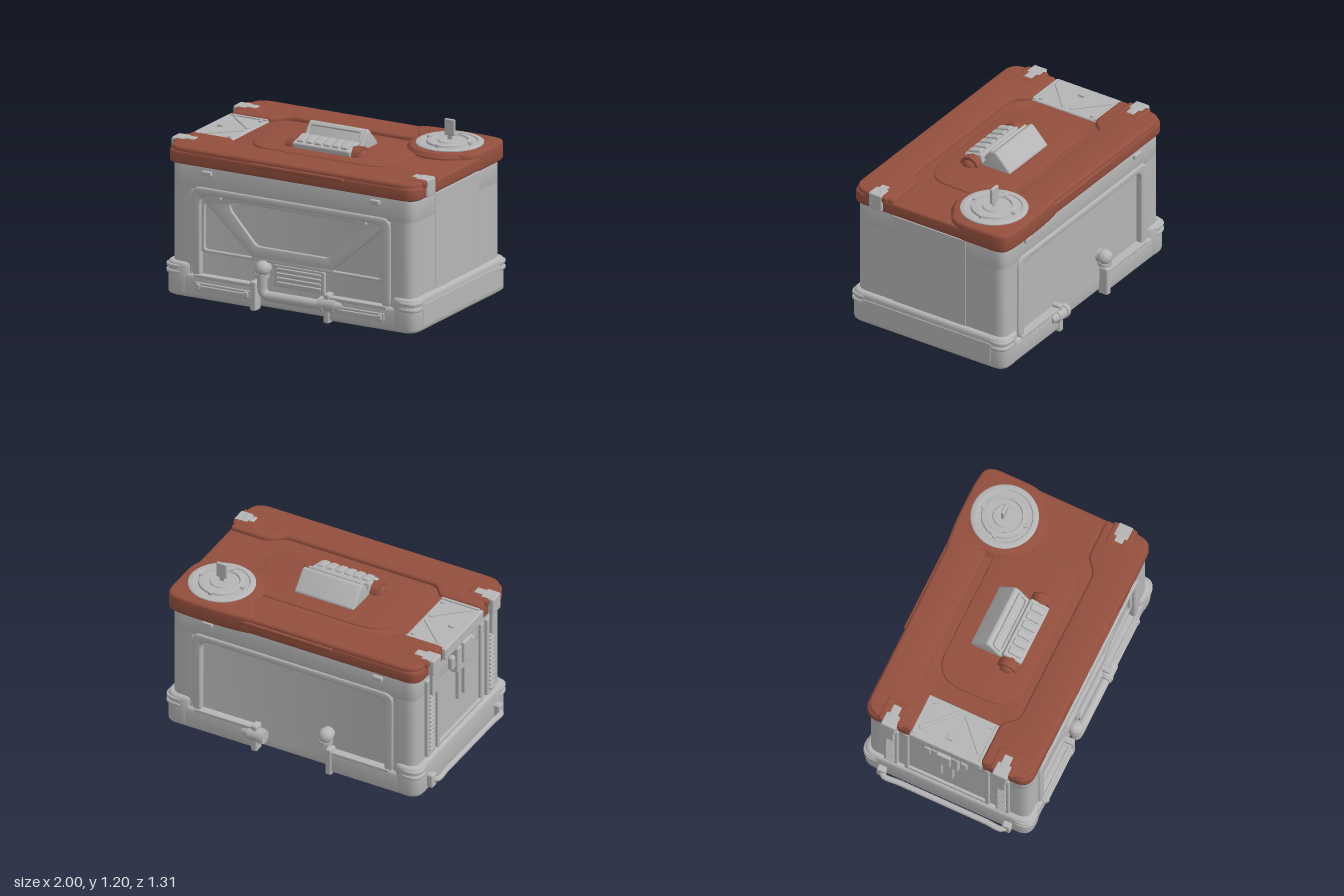
import * as THREE from 'three';
import { toCreasedNormals } from 'three/addons/utils/BufferGeometryUtils.js';
import { RoundedBoxGeometry } from 'three/addons/geometries/RoundedBoxGeometry.js';

const grey = new THREE.MeshStandardMaterial({ color: 0xb5b5b5 });
grey.name = 'grey shell';
const rust = new THREE.MeshStandardMaterial({ color: 0x934f3e });
rust.name = 'rust lid';

export function createModel() {
  const root = new THREE.Group();
  root.name = 'storageCase';
  const box = new THREE.Group();
  box.name = 'caseBody';
  box.position.x = 0.02;
  box.rotation.y = 0.05;
  root.add(box);

  const add = (name, geo, mat = grey, x = 0, y = 0, z = 0) => {
    const m = new THREE.Mesh(geo, mat);
    m.name = name;
    m.position.set(x, y, z);
    box.add(m);
    return m;
  };
  // polygon with rounded corners; a third value on a point overrides the radius
  const poly = (pts, r, Type = THREE.Shape) => {
    const s = new Type(), n = pts.length;
    pts.forEach((p, i) => {
      const c = new THREE.Vector2(p[0], p[1]), rad = p[2] ?? r;
      const toward = (q) => {
        const d = new THREE.Vector2(q[0], q[1]).sub(c), l = d.length();
        return d.multiplyScalar(Math.min(rad, l * 0.49) / l).add(c);
      };
      const a = toward(pts[(i + n - 1) % n]), b = toward(pts[(i + 1) % n]);
      if (i) s.lineTo(a.x, a.y); else s.moveTo(a.x, a.y);
      s.quadraticCurveTo(c.x, c.y, b.x, b.y);
    });
    s.closePath();
    return s;
  };
  const rect = (x0, y0, x1, y1, r) => poly([[x0, y0], [x1, y0], [x1, y1], [x0, y1]], r);
  const extrude = (shape, h, b) => {
    const g = new THREE.ExtrudeGeometry(shape, {
      depth: h - 2 * b, bevelEnabled: b > 0, bevelThickness: b, bevelSize: b,
      bevelOffset: -b, bevelSegments: 3, curveSegments: 8 });
    return toCreasedNormals(g.translate(0, 0, b), 0.6);
  };
  // horizontal slab: the shape is drawn in x and z
  const slab = (name, shape, y0, y1, b, mat = grey) =>
    add(name, extrude(shape, y1 - y0, b).rotateX(Math.PI / 2).translate(0, y1, 0), mat);
  // upright plate on the front (s = 1) or back (s = -1)
  const wall = (name, shape, z, t, b, s = 1) => {
    const g = extrude(shape, t, b).translate(0, 0, s > 0 ? z : -z - t);
    return add(name, g);
  };
  const rbox = (name, w, h, d, x, y, z, mat = grey, r = 0.012) =>
    add(name, new RoundedBoxGeometry(w, h, d, 2, Math.min(r, w / 3, h / 3, d / 3)), mat, x, y, z);
  const cyl = (name, r0, r1, h, x, y, z, axis = 'y', mat = grey) => {
    const g = new THREE.CylinderGeometry(r0, r1, h, 32);
    if (axis === 'x') g.rotateZ(-Math.PI / 2);
    if (axis === 'z') g.rotateX(Math.PI / 2);
    return add(name, g, mat, x, y, z);
  };
  // footprint with a shallow bay in front and back
  const bayed = (hx, hz, r, nx, nz) => poly([
    [-hx, -hz], [-nx, -hz, 0.01], [-nx, -nz, 0.01], [nx, -nz, 0.01], [nx, -hz, 0.01], [hx, -hz],
    [hx, hz], [nx, hz, 0.01], [nx, nz, 0.01], [-nx, nz, 0.01], [-nx, hz, 0.01], [-hx, hz]], r);

  // Shell and plinth
  slab('upperShell', rect(-0.905, -0.578, 0.905, 0.578, 0.08), 0.75, 0.93, 0.01);
  slab('middleShell', bayed(0.905, 0.578, 0.08, 0.74, 0.545), 0.1, 0.76, 0);
  slab('plinth', bayed(0.925, 0.597, 0.08, 0.26, 0.54), 0.015, 0.18, 0.025);
  for (const s of [-1, 1]) {
    const [a, b] = s > 0 ? [0.74, 0.94] : [-0.94, -0.74];
    slab('endFoot', rect(a, -0.605, b, 0.605, 0.09), 0.02, 0.25, 0.025);
    for (const t of [-1, 1]) for (const y of [0.165, 0.205])
      slab('cornerRib', rect(s > 0 ? 0.78 : -0.947, t > 0 ? 0.45 : -0.612, s > 0 ? 0.947 : -0.78, t > 0 ? 0.612 : -0.45, 0.08), y, y + 0.025, 0.008);
  }
  rbox('rightBasePanel', 0.012, 0.15, 1.0, 0.939, 0.127, 0);
  rbox('rightSidePanel', 0.014, 0.65, 0.57, 0.904, 0.57, 0.0);

  // Front and back framing
  const arch = () => poly([[-0.745, 0.17], [-0.745, 0.775], [0.745, 0.775], [0.745, 0.17],
    [0.68, 0.17, 0.01], [0.68, 0.725], [-0.68, 0.725], [-0.68, 0.17, 0.01]], 0.07);
  for (const s of [-1, 1]) {
    wall('archFrame', arch(), 0.54, 0.05, 0.012, s);
    for (const t of [-1, 1]) {
      rbox('bayGusset', 0.045, 0.2, 0.075, t * 0.275, 0.1, s * 0.57);
      rbox('lidClip', 0.075, 0.035, 0.03, t * 0.63, 0.872, s * 0.582);
      rbox('ledge', 0.44, 0.025, 0.02, t * 0.5, 0.17, s * 0.59);
    }
  }
  const brace = rect(-0.69, 0.33, 0.69, 0.735, 0.03);
  brace.holes.push(poly([[-0.47, 0.7], [0.47, 0.7], [0.47, 0.65], [0.27, 0.43], [-0.27, 0.43], [-0.47, 0.65]], 0.03, THREE.Path));
  for (const t of [-1, 1]) {
    brace.holes.push(poly([[t * 0.66, 0.67], [t * 0.66, 0.35], [t * 0.3, 0.35]], 0.02, THREE.Path));
    cyl('braceBolt', 0.017, 0.017, 0.02, t * 0.545, 0.71, 0.572, 'z');
    rbox('frontSlotFrame', 0.42, 0.055, 0.02, t * 0.5, 0.105, 0.598);
    rbox('frontSlotBar', 0.34, 0.022, 0.02, t * 0.5, 0.105, 0.607);
    for (const e of [-1, 1]) rbox('slotStop', 0.03, 0.04, 0.025, t * 0.5 + e * 0.18, 0.105, 0.608);
  }
  wall('frontBrace', brace, 0.54, 0.025, 0.006);
  rbox('ventFrame', 0.38, 0.15, 0.025, 0.05, 0.255, 0.552);
  for (let i = 0; i < 4; i++) rbox('ventSlat', 0.33, 0.016, 0.022, 0.05, 0.21 + i * 0.031, 0.567, grey, 0.005);

  // Front drain pipe and its rear outlets
  const path = new THREE.CurvePath();
  const v = (x, y) => new THREE.Vector3(x, y, 0.59);
  path.add(new THREE.LineCurve3(v(-0.21, 0.3), v(-0.21, 0.17)));
  path.add(new THREE.QuadraticBezierCurve3(v(-0.21, 0.17), v(-0.21, 0.115), v(-0.155, 0.115)));
  path.add(new THREE.LineCurve3(v(-0.155, 0.115), v(0.24, 0.115)));
  add('drainPipe', new THREE.TubeGeometry(path, 60, 0.034, 16, false));
  for (const [s, x, c] of [[1, -0.21, 0.28], [-1, -0.25, 0.26]]) {
    add('pipeBall', new THREE.SphereGeometry(0.052, 24, 16), grey, x, 0.295, s * 0.588);
    cyl('ballCollar', 0.046, 0.046, 0.025, x, 0.25, s * 0.588);
    cyl('ballMount', 0.045, 0.045, 0.06, x, 0.295, s * 0.555, 'z');
    cyl('pipeFitting', 0.045, 0.045, 0.12, c, 0.125, s * 0.585, 'x');
    cyl('fittingTip', 0.026, 0.04, 0.05, c + 0.085, 0.125, s * 0.585, 'x');
    cyl('fittingRing', 0.051, 0.051, 0.025, c - 0.035, 0.125, s * 0.585, 'x');
  }

  // Lid
  slab('lidSlab', poly([[-0.935, -0.597], [0.935, -0.597], [0.935, 0.597], [-0.935, 0.597],
    [-0.935, 0.26, 0.02], [-0.65, 0.26, 0.02], [-0.65, -0.26, 0.02], [-0.935, -0.26, 0.02]], 0.1), 0.912, 1.0, 0.014, rust);
  for (const s of [-1, 1]) {
    slab('lidRaisedStrip', poly([[-0.93, s * 0.25, 0.02], [-0.63, s * 0.25], [-0.55, s * 0.345], [0.56, s * 0.345],
      [0.65, s * 0.265], [0.93, s * 0.265, 0.02], [0.93, s * 0.592, 0.12], [-0.93, s * 0.592, 0.12]], 0.04), 0.95, 1.028, 0.018, rust);
    rbox('lidGrip', 0.7, 0.03, 0.03, 0.05, 0.985, s * 0.592, rust);
  }
  slab('lidCentrePanel', rect(-0.53, -0.29, 0.55, 0.29, 0.2), 0.98, 1.012, 0.01, rust);
  const lathe = (pts) => toCreasedNormals(new THREE.LatheGeometry(pts.map((p) => new THREE.Vector2(...p)), 56), 0.6);
  const dx = 0.658, dz = -0.338;
  slab('dialShoulder', poly([[0.26, -0.594], [0.5, -0.618], [0.82, -0.618], [0.938, -0.59], [0.938, -0.2],
    [0.84, -0.12], [0.5, -0.2]], 0.1), 0.906, 1.036, 0.02, rust);
  add('dialBoss', lathe([[0, 0.906], [0.26, 0.906], [0.28, 0.93], [0.28, 1.01], [0.26, 1.034], [0.235, 1.04], [0, 1.04]]), rust, dx, 0, dz);

  // Dial with a key standing in it
  add('dialPlate', lathe([[0.222, 1.03], [0.222, 1.046], [0.21, 1.052], [0.185, 1.052], [0.18, 1.045],
    [0.155, 1.045], [0.15, 1.058], [0.12, 1.062], [0.115, 1.052], [0.08, 1.052], [0.075, 1.06], [0, 1.06]]), grey, dx, 0, dz);
  for (let i = 0; i < 4; i++) {
    const a = i * Math.PI / 2;
    cyl('dialStud', 0.018, 0.018, 0.02, dx + Math.cos(a) * 0.15, 1.056, dz + Math.sin(a) * 0.15);
  }
  rbox('keyStem', 0.035, 0.07, 0.01, dx, 1.08, dz);
  rbox('keyHead', 0.075, 0.11, 0.022, dx, 1.142, dz, grey, 0.006);

  // Control unit on the lid: wedge housing, screen and key row
  const wedge = poly([[-0.05, 1.0, 0.005], [-0.035, 1.035], [0.035, 1.13], [0.06, 1.138], [0.175, 1.02], [0.17, 1.0, 0.005]], 0.015);
  add('screenHousing', extrude(wedge, 0.44, 0.012).translate(0, 0, -0.22).rotateY(Math.PI / 2), grey, 0, 0, 0.01);
  const screen = new THREE.Group();
  screen.name = 'screen';
  screen.position.set(0, 1.082, 0.012);
  screen.rotation.x = -0.64;
  const rim = rect(-0.205, -0.052, 0.205, 0.052, 0.025);
  rim.holes.push(rect(-0.185, -0.036, 0.185, 0.036, 0.02));
  screen.add(new THREE.Mesh(extrude(rim, 0.018, 0.004), grey));
  screen.children[0].name = 'screenRim';
  box.add(screen);
  cyl('hingeRoll', 0.06, 0.06, 0.5, 0, 1.005, 0.12, 'x', rust);
  for (const s of [-1, 1]) {
    cyl('hingeKnob', 0.07, 0.07, 0.05, s * 0.25, 1.0, 0.12, 'x', rust);
    const cap = add('hingeCap', new THREE.SphereGeometry(0.05, 20, 14), rust, s * 0.275, 1.0, 0.12);
    cap.scale.x = 0.6;
  }
  const tray = rbox('keyTray', 0.43, 0.07, 0.14, 0, 1.03, 0.125);
  tray.rotation.x = 0.25;
  for (let i = 0; i < 6; i++) {
    const k = rbox('key', 0.05, 0.03, 0.1, -0.165 + i * 0.066, 1.064, 0.135);
    k.rotation.x = 0.25;
  }

  // Hinge plate in the lid's right-hand notch
  rbox('hingePlate', 0.31, 0.09, 0.515, -0.8, 0.963, 0);
  for (const s of [-1, 1]) {
    const rib = rbox('hingePlateRib', 0.28, 0.014, 0.025, -0.78, 1.01, s * 0.12);
    rib.rotation.y = s * 0.75;
    rbox('hingePlateEdge', 0.28, 0.014, 0.02, -0.79, 1.01, s * 0.24);
    cyl('hingePlateBolt', 0.015, 0.015, 0.015, -0.68, 1.011, s * 0.2);
  }
  rbox('hingePlateLock', 0.04, 0.02, 0.05, -0.86, 1.012, 0);

  // Lid latches: two at the right end, one at the left
  for (const [x, z] of [[-1, -0.4], [-1, 0.4], [1, 0.4]]) {
    rbox('latchSurround', 0.17, 0.05, 0.17, x * 0.86, 1.008, z, rust, 0.02);
    rbox('latchHook', 0.1, 0.12, 0.105, x * (x < 0 ? 0.925 : 0.9), 0.976, z);
    rbox('latchTab', 0.09, 0.025, 0.06, x * 0.86, 1.026, z);
  }

  // Right end: ribbed rails, framed panel, lock and carry bar
  for (const s of [-1, 1]) {
    rbox('latchRail', 0.03, 0.6, 0.1, -0.915, 0.56, s * 0.4);
    rbox('latchStrap', 0.03, 0.2, 0.07, -0.945, 0.85, s * 0.4);
    for (let i = 0; i < 14; i++) rbox('railRib', 0.02, 0.015, 0.06, -0.932, 0.31 + i * 0.032, s * 0.4, grey, 0.004);
    rbox('panelPost', 0.025, 0.62, 0.03, -0.912, 0.56, s * 0.29);
    rbox('lockLeg', 0.03, 0.28, 0.025, -0.925, 0.62, s * 0.04);
    rbox('lockWing', 0.035, 0.1, 0.05, -0.93, 0.82, s * 0.13);
    rbox('carryBarMount', 0.06, 0.1, 0.06, -0.95, 0.1, s * 0.45);
  }
  rbox('panelSill', 0.025, 0.03, 0.6, -0.912, 0.27, 0);
  rbox('lockBody', 0.06, 0.2, 0.2, -0.93, 0.82, 0);
  rbox('lockLever', 0.03, 0.16, 0.1, -0.965, 0.86, 0);
  const bar = new THREE.CatmullRomCurve3([[-0.94, -0.45], [-0.985, -0.43], [-0.985, -0.3], [-0.985, 0.3], [-0.985, 0.43], [-0.94, 0.45]]
    .map(([x, z]) => new THREE.Vector3(x, 0.1, z)));
  add('carryBar', new THREE.TubeGeometry(bar, 48, 0.02, 12, false));

  return root;
}
